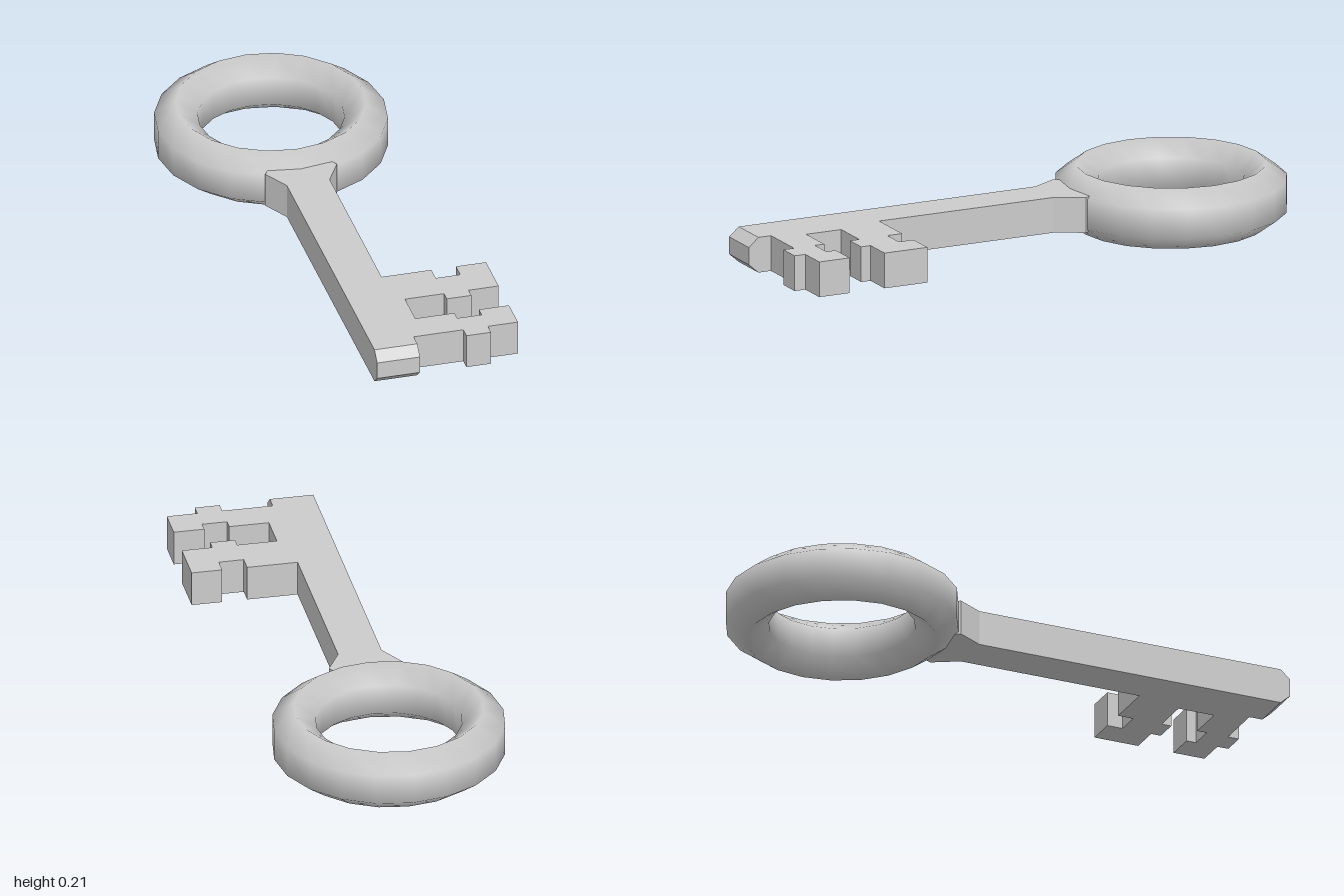
import * as THREE from 'three';
import { mergeVertices } from 'three/addons/utils/BufferGeometryUtils.js';

const material = new THREE.MeshStandardMaterial({ color: 0xcccccc });

// Ring handle: six-sided section swept round 20 segments, smooth all over
function createRing() {
  const mid = 0.318, half = 0.0725;
  const section = [
    [mid - half, -0.052], [mid, -0.105], [mid + half, -0.052],
    [mid + half, 0.052], [mid, 0.105], [mid - half, 0.052], [mid - half, -0.052],
  ].map(([r, y]) => new THREE.Vector2(r, y));
  let geometry = new THREE.LatheGeometry(section, 20);
  geometry.deleteAttribute('normal');
  geometry.deleteAttribute('uv');
  geometry = mergeVertices(geometry);
  geometry.computeVertexNormals();
  const ring = new THREE.Mesh(geometry, material);
  ring.name = 'ringHandle';
  ring.position.set(-0.021, 0.105, -0.609);
  return ring;
}

// Shaft with flared neck and two notched teeth, one outline in x and z
function createBlade() {
  const left = -0.095, right = 0.053, outer = 0.414;
  const n0 = 0.225, n1 = 0.31; // notch and tab across each tooth
  const tooth = (back, notch, front, tab) => [
    [n0, back], [n0, notch], [n1, notch], [n1, back], [outer, back],
    [outer, front], [n1, front], [n1, tab], [n0, tab], [n0, front],
  ];
  const outline = [
    [left, 1], [left, -0.14], [-0.145, -0.23], [-0.12, -0.27],
    [0.08, -0.27], [0.103, -0.23], [right, -0.14],
    [right, 0.515], ...tooth(0.515, 0.57, 0.675, 0.71),
    [0.09, 0.675], [0.09, 0.805], ...tooth(0.805, 0.84, 0.918, 0.958),
    [right, 0.918], [right, 1],
  ].map(([x, z]) => new THREE.Vector2(x, -z));
  const height = 0.122, chamfer = 0.031;
  const geometry = new THREE.ExtrudeGeometry(new THREE.Shape(outline), {
    depth: height, steps: 3, bevelEnabled: false,
  });
  geometry.rotateX(-Math.PI / 2);

  // Chamfer the tip: pull its top and bottom edges back
  const levels = [0, chamfer, height - chamfer, height];
  const p = geometry.attributes.position;
  for (let i = 0; i < p.count; i++) {
    const level = Math.round(p.getY(i) / height * 3);
    p.setY(i, levels[level]);
    if (p.getZ(i) > 0.99 && level % 3 === 0) p.setZ(i, 0.965);
  }
  geometry.computeVertexNormals();
  const blade = new THREE.Mesh(geometry, material);
  blade.name = 'shaftAndTeeth';
  blade.position.y = 0.045;
  return blade;
}

export function createModel() {
  const key = new THREE.Group();
  key.name = 'key';
  key.add(createRing(), createBlade());
  return key;
}
